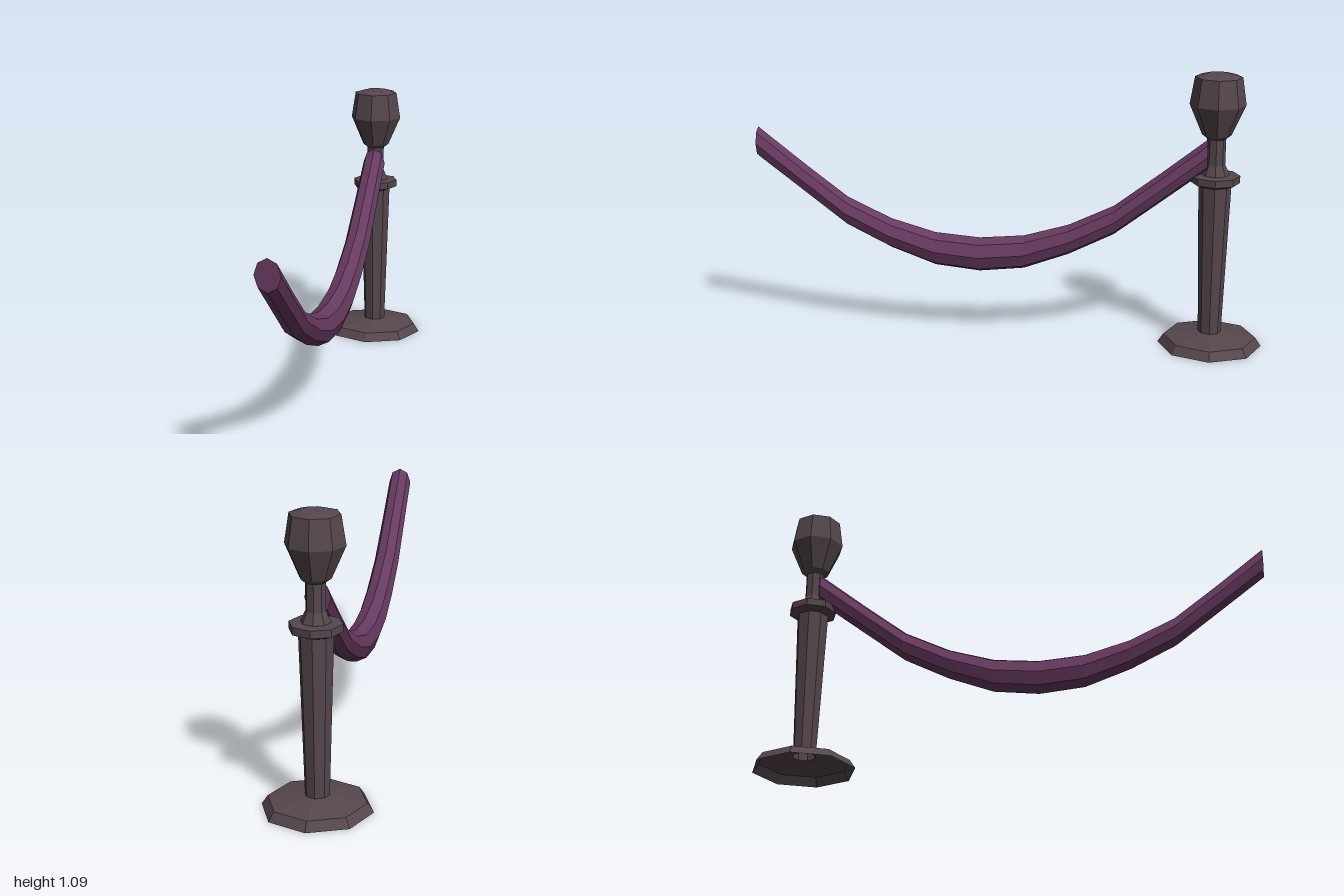
import * as THREE from 'three';

const SIDES = 8;
const POST_Z = -0.797;

// Sagging rope: octagonal cross-sections, cut upright along z, capped at both ends
function ropeGeometry() {
  // height of the centre, half width and half height, from the end to the middle
  const half = [
    [0.77, 0.047, 0.06], [0.632, 0.049, 0.058], [0.497, 0.052, 0.058],
    [0.411, 0.055, 0.06], [0.353, 0.058, 0.067], [0.336, 0.06, 0.069],
  ];
  const rings = [...half, ...half.slice(0, -1).reverse()];
  const zStart = -0.765, zEnd = 1;
  const last = rings.length - 1;
  const positions = [], index = [];
  rings.forEach(([y, rx, ry], i) => {
    const z = zStart + (zEnd - zStart) * i / last;
    for (let j = 0; j < SIDES; j++) {
      const a = j / SIDES * Math.PI * 2;
      positions.push(rx * Math.sin(a), y + ry * Math.cos(a), z);
    }
  });
  for (let i = 0; i < last; i++) {
    for (let j = 0; j < SIDES; j++) {
      const k = (j + 1) % SIDES;
      const a = i * SIDES + j, b = i * SIDES + k;
      const c = b + SIDES, d = a + SIDES;
      index.push(a, d, b, d, c, b);
    }
  }
  for (let j = 1; j < SIDES - 1; j++) {
    const e = last * SIDES;
    index.push(0, j, j + 1, e, e + j + 1, e + j);
  }
  const geometry = new THREE.BufferGeometry();
  geometry.setAttribute('position', new THREE.Float32BufferAttribute(positions, 3));
  geometry.setIndex(index);
  geometry.computeVertexNormals();
  return geometry;
}

export function createModel() {
  const group = new THREE.Group();
  const metal = new THREE.MeshStandardMaterial({ color: 0x55474d, flatShading: true, side: THREE.DoubleSide });
  metal.name = 'dark metal';
  const velvet = new THREE.MeshStandardMaterial({ color: 0x673a60, flatShading: true });
  velvet.name = 'purple velvet';

  // Turned octagonal parts, profiles run from bottom to top
  const turned = (name, profile) => {
    const points = profile.map(([r, y]) => new THREE.Vector2(r, y));
    const mesh = new THREE.Mesh(new THREE.LatheGeometry(points, SIDES), metal);
    mesh.name = name;
    mesh.position.z = POST_Z;
    group.add(mesh);
  };

  // Hollow foot, open underneath
  turned('base', [[0.203, 0], [0.18, 0.034], [0.045, 0.055]]);
  turned('shaft', [[0.045, 0.055], [0.063, 0.65]]);
  turned('collar', [[0.063, 0.65], [0.095, 0.663], [0.095, 0.691], [0.054, 0.694], [0.046, 0.712]]);
  turned('neck', [[0.046, 0.712], [0.036, 0.735], [0.036, 0.835]]);
  turned('finial', [[0.036, 0.835], [0.056, 0.85], [0.107, 0.967], [0.09, 1.074], [0.046, 1.086], [0, 1.086]]);

  const rope = new THREE.Mesh(ropeGeometry(), velvet);
  rope.name = 'rope';
  group.add(rope);
  return group;
}
